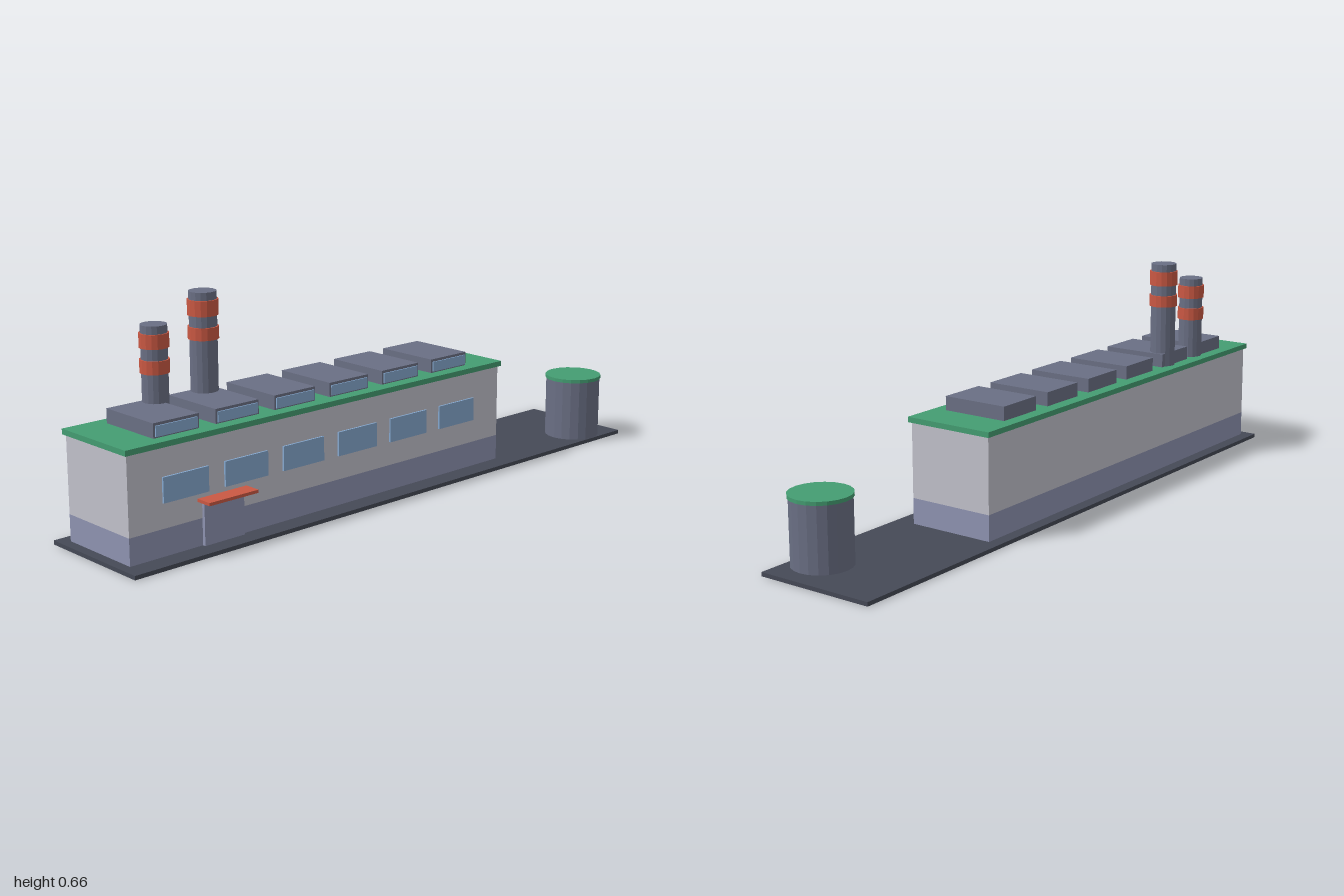
import * as THREE from 'three';

const mat = (name, color) => {
  const m = new THREE.MeshStandardMaterial({ color });
  m.name = name;
  m.flatShading = true;
  return m;
};

export function createModel() {
  const group = new THREE.Group();
  group.name = 'factory';

  const asphalt = mat('asphalt', 0x454956);
  const wall = mat('pale wall', 0xc1c1cb);
  const plinth = mat('lavender plinth', 0x8e93b1);
  const green = mat('green roof', 0x449d72);
  const steel = mat('grey steel', 0x6a6f84);
  const glass = mat('blue glass', 0x85a8cf);
  const red = mat('red paint', 0xca5843);

  // Box given by its lower and upper corners
  const box = (name, material, [x0, y0, z0], [x1, y1, z1]) => {
    const mesh = new THREE.Mesh(new THREE.BoxGeometry(x1 - x0, y1 - y0, z1 - z0), material);
    mesh.position.set((x0 + x1) / 2, (y0 + y1) / 2, (z0 + z1) / 2);
    mesh.name = name;
    group.add(mesh);
  };

  // Upright cylinder between two heights
  const drum = (name, material, x, z, r, y0, y1, sides) => {
    const mesh = new THREE.Mesh(new THREE.CylinderGeometry(r, r, y1 - y0, sides), material);
    mesh.position.set(x, (y0 + y1) / 2, z);
    mesh.name = name;
    group.add(mesh);
  };

  // Ground slab and main hall
  box('groundSlab', asphalt, [-1, 0, -0.188], [1, 0.012, 0.188]);
  box('wallPlinth', plinth, [-0.97, 0.012, -0.15], [0.452, 0.09, 0.125]);
  box('upperWalls', wall, [-0.97, 0.09, -0.15], [0.452, 0.316, 0.125]);
  box('roof', green, [-0.978, 0.316, -0.157], [0.46, 0.332, 0.133]);

  // Front windows and glazed roof lights, one pair per bay
  for (let i = 0; i < 6; i++) {
    const x = -0.783 + i * 0.209;
    box('window', glass, [x - 0.076, 0.162, 0.124], [x + 0.076, 0.234, 0.131]);
    box('roofLight', steel, [x - 0.076, 0.332, -0.118], [x + 0.076, 0.374, 0.093]);
    box('roofLightGlass', glass, [x - 0.07, 0.336, 0.092], [x + 0.07, 0.366, 0.097]);
  }

  // Entrance door and canopy
  box('door', plinth, [-0.728, 0.012, 0.124], [-0.59, 0.139, 0.135]);
  box('doorCanopy', red, [-0.743, 0.139, 0.125], [-0.573, 0.148, 0.177]);

  // Chimneys with painted bands
  const chimneys = [
    { x: -0.714, r: 0.038, top: 0.591, bands: [[0.456, 0.494], [0.527, 0.568]] },
    { x: -0.543, r: 0.04, top: 0.661, bands: [[0.525, 0.561], [0.593, 0.638]] },
  ];
  for (const { x, r, top, bands } of chimneys) {
    drum('chimney', steel, x, -0.09, r, 0.33, top, 16);
    for (const [y0, y1] of bands) drum('chimneyBand', red, x, -0.09, r + 0.0045, y0, y1, 16);
  }

  // Storage tank
  drum('tank', steel, 0.86, 0.098, 0.088, 0.012, 0.205, 20);
  drum('tankLid', green, 0.86, 0.098, 0.091, 0.205, 0.216, 20);

  return group;
}
